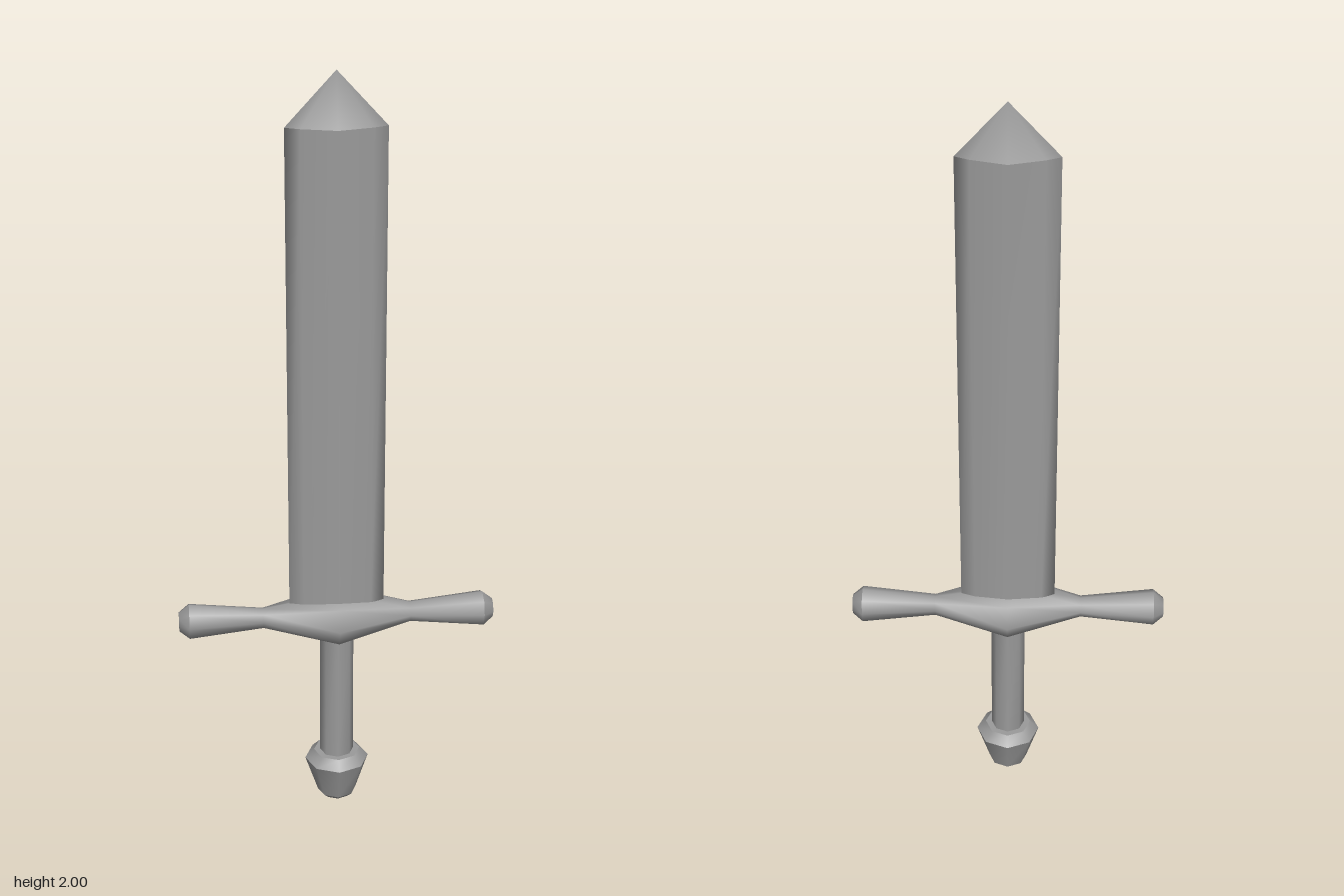
import * as THREE from 'three';

const SIDES = 8;
const material = new THREE.MeshStandardMaterial({ color: 0x9a9a9a, side: THREE.DoubleSide });

// Lofts eight-sided rings [height, radiusX, radiusZ, diagX, diagZ] along y, smooth within one run.
function loft(rings) {
  const pos = [], index = [];
  for (const [y, a, b, dx = 0.707, dz = 0.707] of rings) {
    for (let i = 0; i < SIDES; i++) {
      const t = (i / SIDES) * Math.PI * 2, odd = i % 2;
      const c = odd ? Math.sign(Math.cos(t)) * dx : Math.cos(t);
      const s = odd ? Math.sign(Math.sin(t)) * dz : Math.sin(t);
      pos.push(a * c, y, b * s);
    }
  }
  for (let r = 0; r < rings.length - 1; r++) {
    for (let i = 0; i < SIDES; i++) {
      const p = r * SIDES + i, q = r * SIDES + ((i + 1) % SIDES);
      index.push(p, p + SIDES, q, q, p + SIDES, q + SIDES);
    }
  }
  const g = new THREE.BufferGeometry();
  g.setAttribute('position', new THREE.Float32BufferAttribute(pos, 3));
  g.setIndex(index);
  g.computeVertexNormals();
  // Rings closed to a point share one normal along the axis
  rings.forEach(([, a], r) => {
    if (a > 0) return;
    for (let i = 0; i < SIDES; i++) g.attributes.normal.setXYZ(r * SIDES + i, 0, r ? 1 : -1, 0);
  });
  return g;
}

// A named group of runs; the joins between runs stay sharp.
function part(name, ...runs) {
  const group = new THREE.Group();
  group.name = name;
  runs.forEach((rings, i) => {
    const mesh = new THREE.Mesh(loft(rings), material);
    mesh.name = `${name}Section${i + 1}`;
    group.add(mesh);
  });
  return group;
}

export function createModel() {
  const model = new THREE.Group();
  model.name = 'sword';

  // Blade: flattened diamond section with a pointed tip
  const bladeRing = (y, k = 1) => [y, 0.125 * k, 0.045 * k, 0.707, 0.41];
  model.add(part('blade',
    [bladeRing(0.56), bladeRing(1.865)],
    [bladeRing(1.865), bladeRing(2, 0)]));

  // Crossguard: wide middle, narrow necks, flared ends with softly bevelled caps
  const guard = part('crossguard',
    [[-0.417, 0, 0], [-0.417, 0.026, 0.026], [-0.39, 0.048, 0.048]],
    [[-0.39, 0.048, 0.048], [-0.195, 0.027, 0.03],
      [0, 0.062, 0.106, 0.8, 0.707],
      [0.195, 0.027, 0.03], [0.39, 0.048, 0.048]],
    [[0.39, 0.048, 0.048], [0.417, 0.026, 0.026], [0.417, 0, 0]]);
  guard.rotation.z = -Math.PI / 2;
  guard.position.y = 0.557;
  model.add(guard);

  // Grip
  model.add(part('grip', [[0.12, 0.045, 0.045], [0.54, 0.045, 0.045]]));

  // Pommel: tapered cup with bevelled top and bottom
  model.add(part('pommel',
    [[0, 0, 0], [0, 0.035, 0.035]],
    [[0, 0.035, 0.035], [0.015, 0.052, 0.052]],
    [[0.015, 0.052, 0.052], [0.117, 0.086, 0.086]],
    [[0.117, 0.086, 0.086], [0.142, 0.062, 0.062]],
    [[0.142, 0.062, 0.062], [0.142, 0, 0]]));

  return model;
}
